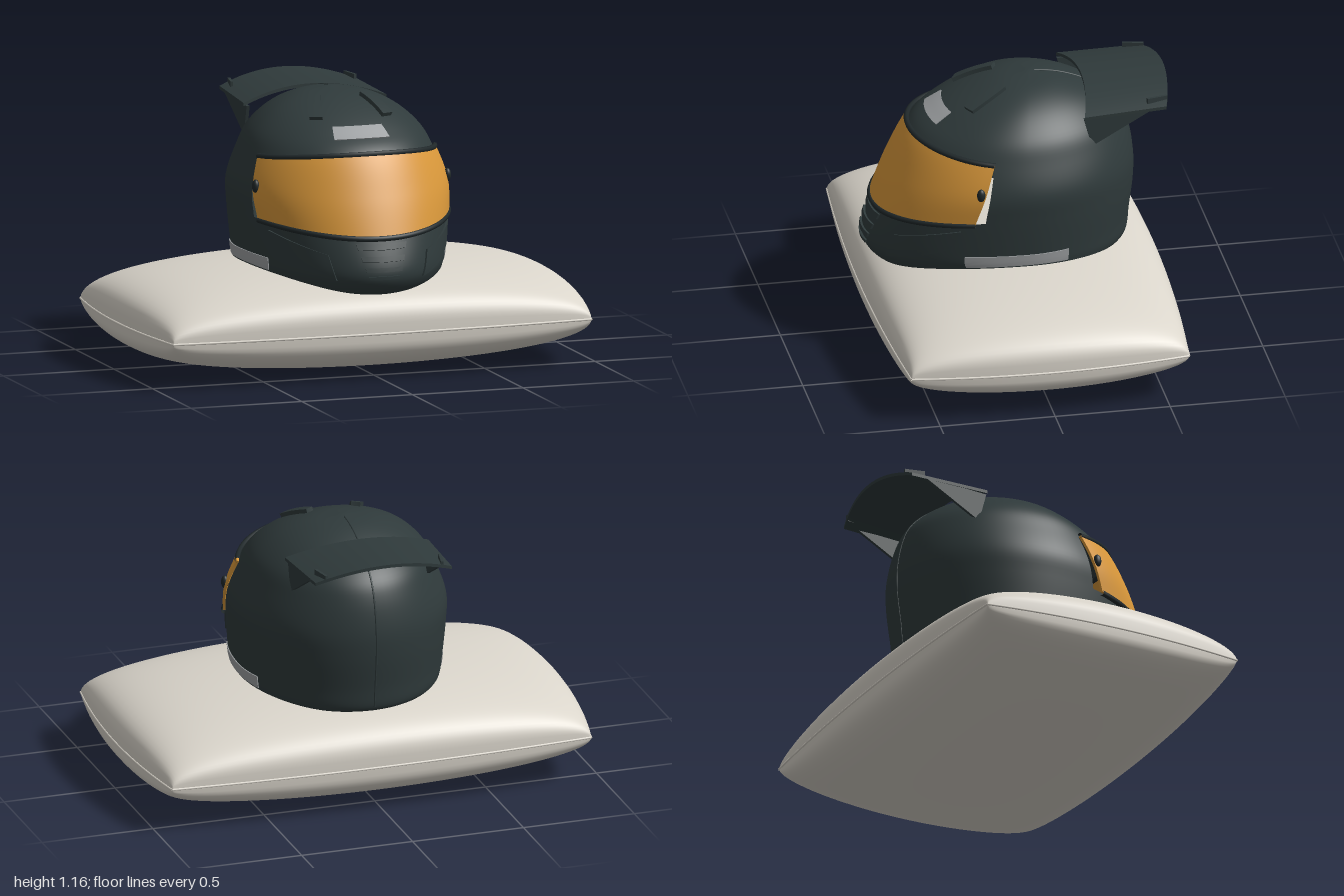
import * as THREE from 'three';
import { mergeVertices, toCreasedNormals } from 'three/addons/utils/BufferGeometryUtils.js';

const mat = (name, color) => new THREE.MeshStandardMaterial({ name, color, side: THREE.DoubleSide });

// Helmet surface: matching front, side and back profiles, from the bottom rim to the crown
const profile = pts => new THREE.CatmullRomCurve3(pts.map(p => new THREE.Vector3(...p)), false, 'catmullrom', 0.5);
const FRONT = profile([[0, 0.375, 0.5], [0, 0.36, 0.57], [0, 0.40, 0.625], [0, 0.47, 0.642], [0, 0.61, 0.595],
  [0, 0.77, 0.53], [0, 0.94, 0.44], [0, 1.02, 0.335], [0, 1.09, 0.2], [0, 1.14, 0.06], [0, 1.16, -0.08]]);
const SIDE = profile([[0.38, 0.41, 0], [0.425, 0.415, 0], [0.435, 0.45, 0], [0.442, 0.5, 0], [0.458, 0.665, 0],
  [0.46, 0.78, 0], [0.415, 0.905, 0], [0.365, 1.0, -0.01], [0.27, 1.085, -0.03], [0.15, 1.138, -0.06], [0, 1.16, -0.08]]);
const BACK = profile([[0, 0.41, -0.42], [0, 0.405, -0.47], [0, 0.43, -0.498], [0, 0.52, -0.508], [0, 0.66, -0.525],
  [0, 0.78, -0.525], [0, 0.91, -0.498], [0, 1.0, -0.45], [0, 1.085, -0.345], [0, 1.14, -0.21], [0, 1.16, -0.08]]);

// Point at angle a (0 = front, + = left) and height row t (0 to 10)
function surface(a, t) {
  const c = Math.cos(a), k = THREE.MathUtils.clamp(t / 10, 0, 1);
  const s = SIDE.getPoint(k), e = (c > 0 ? FRONT : BACK).getPoint(k);
  return new THREE.Vector3(s.x * Math.sin(a), s.y + (e.y - s.y) * c * c, s.z + (e.z - s.z) * Math.abs(c));
}

function raised(a, t, off) {
  const h = 0.01, p = surface(a, t);
  const da = surface(a + h, t).sub(surface(a - h, t));
  const dt = surface(a, t + h).sub(surface(a, t - h));
  return p.addScaledVector(da.cross(dt).normalize(), off);
}

// Sheet of quads from fn(i, j), leaving out cells where skip(i, j) holds
function sheet(nu, nv, fn, skip = () => false, flip = false) {
  const pos = [], idx = [];
  for (let j = 0; j <= nv; j++) for (let i = 0; i <= nu; i++) pos.push(...fn(i, j).toArray());
  for (let j = 0; j < nv; j++) for (let i = 0; i < nu; i++) {
    if (skip(i, j)) continue;
    const p = j * (nu + 1) + i, q = p + 1, r = q + nu + 1, s = p + nu + 1;
    idx.push(...(flip ? [p, r, q, p, s, r] : [p, q, r, p, r, s]));
  }
  let g = new THREE.BufferGeometry();
  g.setAttribute('position', new THREE.Float32BufferAttribute(pos, 3));
  g.setIndex(idx);
  g = mergeVertices(g, 1e-5);
  g.computeVertexNormals();
  return g;
}

// Raised plate following the helmet; corners [a, t]: low start, low end, high end, high start
function plate(corners, off, nu = 12, nv = 6) {
  const [p, q, r, s] = corners, mix = THREE.MathUtils.lerp;
  const g = sheet(nu + 2, nv + 2, (i, j) => {
    const u = THREE.MathUtils.clamp((i - 1) / nu, 0, 1), v = THREE.MathUtils.clamp((j - 1) / nv, 0, 1);
    const edge = i === 0 || j === 0 || i === nu + 2 || j === nv + 2;
    return raised(mix(mix(p[0], q[0], u), mix(s[0], r[0], u), v),
      mix(mix(p[1], q[1], u), mix(s[1], r[1], u), v), edge ? 0 : off);
  });
  return toCreasedNormals(g, 0.6);
}
const mirrored = ([p, q, r, s]) => [q, p, s, r].map(([a, t]) => [-a, t]);
const band = (a0, a1, t0, t1) => [[a0, t0], [a1, t0], [a1, t1], [a0, t1]];

function tube(points, radius, closed = false) {
  return new THREE.TubeGeometry(new THREE.CatmullRomCurve3(points, closed), points.length * 2, radius, 8, closed);
}

export function createModel() {
  const root = new THREE.Group();
  root.name = 'helmetOnCushion';
  const shellMat = mat('darkShell', 0x2f3a3b), trimMat = mat('blackTrim', 0x20282a);
  const visorMat = mat('amberVisor', 0xd8973a), greyMat = mat('greyPanel', 0x9fa2a4);
  const clothMat = mat('cushionCloth', 0xdad5cb);
  const add = (name, geo, m, parent) => {
    const mesh = new THREE.Mesh(geo, m);
    mesh.name = name;
    parent.add(mesh);
    return mesh;
  };

  // Cushion: two puffed sheets meeting at a piped seam
  const cushion = new THREE.Group();
  cushion.name = 'cushion';
  root.add(cushion);
  const puff = (u, v, h) => new THREE.Vector3(u * (0.945 + 0.05 * (1 - v * v)),
    0.205 + h * Math.pow(Math.max(0, (1 - u * u) * (1 - v * v)), 0.3), 0.01 + v * (0.603 + 0.04 * (1 - u * u)));
  const N = 56, ease = i => Math.sin((i / N - 0.5) * Math.PI);
  add('cushionTop', sheet(N, N, (i, j) => puff(ease(i), ease(j), 0.253), undefined, true), clothMat, cushion);
  add('cushionBottom', sheet(N, N, (i, j) => puff(ease(i), ease(j), -0.205)), clothMat, cushion);
  for (const s of [-1, 1]) {
    const steps = [...Array(17).keys()].map(i => i / 8 - 1);
    add('cushionSeam', tube(steps.map(u => puff(u, s, 0)), 0.005), clothMat, cushion);
    add('cushionSeam', tube(steps.map(v => puff(s, v, 0)), 0.005), clothMat, cushion);
  }

  // Shell with the eye opening left out
  const helmet = new THREE.Group();
  helmet.name = 'helmet';
  root.add(helmet);
  const step = Math.PI * 2 / 96;
  add('shell', sheet(96, 60, (i, j) => surface((i - 48) * step, j / 6),
    (i, j) => j >= 24 && j < 36 && i >= 29 && i < 67), shellMat, helmet);

  // Visor and the trims above and below it
  add('visor', plate([[-1.17, 4], [1.17, 4], [1.24, 6], [-1.24, 6]], 0.012, 48, 16), visorMat, helmet);
  for (const [name, t, end] of [['visorTopTrim', 6.02, 1.24], ['visorBottomTrim', 3.97, 1.17]]) {
    const pts = [...Array(25).keys()].map(i => raised((i / 12 - 1) * end, t, 0.008));
    add(name, tube(pts, 0.012), trimMat, helmet);
  }

  // Chin grille slats
  for (let i = 0; i < 4; i++) {
    const t = 2.65 + i * 0.34, w = 0.145 + i * 0.03;
    add('chinSlat', plate([[-w, t], [w, t], [w + 0.012, t + 0.16], [-w - 0.012, t + 0.16]], 0.01, 8, 2), shellMat, helmet);
  }

  // Paired parts: chin panels, crown vents, grey strips
  const pairs = [
    ['chinPanel', [[0.45, 2.45], [1.03, 3.3], [1.07, 3.78], [0.51, 3.47]], 0.008, shellMat],
    ['crownVent', [[0.45, 7.65], [0.64, 7.65], [0.78, 8.85], [0.53, 8.85]], 0.018, shellMat],
    ['sideStrip', band(1.127, 1.918, 2, 3), 0.004, greyMat],
  ];
  for (const [name, corners, off, m] of pairs) {
    add(name + 'Left', plate(corners, off), m, helmet);
    add(name + 'Right', plate(mirrored(corners), off), m, helmet);
  }
  add('browPanel', plate(band(-0.33, 0.33, 6.72, 7.32), 0.004), greyMat, helmet);

  // Thin centre ridge over the back
  add('backRidge', tube([...Array(24).keys()].map(i => surface(Math.PI, 2 + i * 0.34)), 0.004), shellMat, helmet);

  // Rear spoiler: arched blade, side fins and small tip ridges
  const spoiler = new THREE.Group();
  spoiler.name = 'spoiler';
  helmet.add(spoiler);
  const blade = new THREE.BoxGeometry(2, 0.014, 1, 24, 1, 8), p = blade.attributes.position;
  for (let i = 0; i < p.count; i++) {
    const u = p.getX(i), back = 0.5 - p.getZ(i), arch = u * u;
    p.setXYZ(i, u * (0.323 - 0.016 * back), 1.122 + 0.013 * back - 0.06 * arch + p.getY(i),
      -0.305 - 0.358 * back + 0.044 * arch);
  }
  blade.computeVertexNormals();
  add('spoilerBlade', blade, shellMat, spoiler);

  const fin = new THREE.Shape([[0.26, 1.055], [0.295, 0.925], [0.56, 1.075]].map(q => new THREE.Vector2(...q)));
  for (const s of [-1, 1]) {
    const geo = new THREE.ExtrudeGeometry(fin, { depth: 0.014, bevelEnabled: false });
    geo.rotateY(Math.PI / 2);
    geo.translate(s * 0.303 - 0.007, 0, 0);
    add('spoilerFin', geo, shellMat, spoiler);
    const ridge = add('spoilerTipRidge', new THREE.BoxGeometry(0.012, 0.03, 0.09), shellMat, spoiler);
    ridge.position.set(s * 0.27, 1.098, -0.585);
    ridge.rotation.y = s * 0.2;
    // Visor hinge knob
    const knob = add('visorHinge', new THREE.SphereGeometry(1, 20, 14), trimMat, helmet);
    knob.scale.set(0.016, 0.029, 0.018);
    knob.position.copy(raised(s * 1.165, 5.1, 0.014));
  }
  return root;
}
